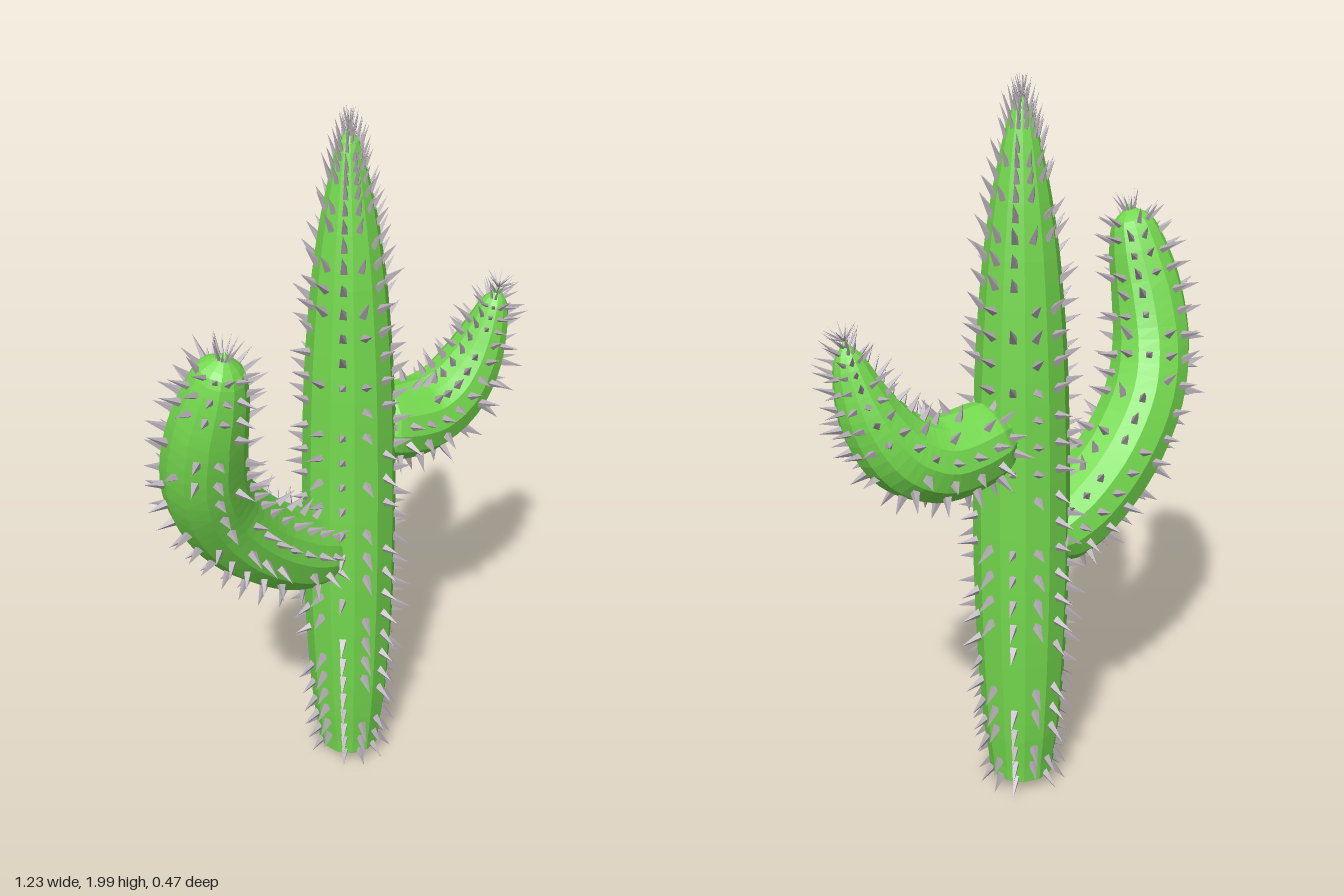
import * as THREE from 'three';
import { mergeGeometries } from 'three/addons/utils/BufferGeometryUtils.js';

const SIDES = 12;
const green = new THREE.MeshStandardMaterial({ color: 0x74d94e, flatShading: true });
const grey = new THREE.MeshStandardMaterial({ color: 0xb4acb4, flatShading: true, side: THREE.DoubleSide });

// Small seeded generator for the irregular spines
let seed = 7;
function random() {
  seed = (seed * 16807) % 2147483647;
  return seed / 2147483647;
}

// A limb is a 12-sided tube with varying radius; points are [x, y, z, radius]
function makeLimb(points) {
  const path = new THREE.CatmullRomCurve3(points.map(p => new THREE.Vector3(p[0], p[1], p[2])));
  const radii = new THREE.SplineCurve(points.map((p, i) => new THREE.Vector2(i, p[3])));
  const radius = t => Math.max(0, radii.getPoint(t).y);
  const at = (t, a, r = radius(t)) => {
    const T = path.getTangent(t);
    const w = new THREE.Vector3(0, 0, 1).addScaledVector(T, -T.z).normalize();
    const u = w.clone().cross(T);
    return path.getPoint(t).addScaledVector(u, r * Math.cos(a)).addScaledVector(w, r * Math.sin(a));
  };
  return { path, radius, at };
}

// Skin: rings along the path, closed at both ends
function skin(limb, rings) {
  const pos = [], index = [];
  for (let i = -1; i <= rings + 1; i++) {
    const t = THREE.MathUtils.clamp(i / rings, 0, 1);
    const r = i < 0 || i > rings ? 0 : limb.radius(t);
    for (let j = 0; j < SIDES; j++) pos.push(...limb.at(t, (j / SIDES) * Math.PI * 2, r).toArray());
  }
  for (let i = 0; i < rings + 2; i++) {
    for (let j = 0; j < SIDES; j++) {
      const k = (j + 1) % SIDES;
      const a = i * SIDES + j, b = i * SIDES + k, c = b + SIDES, d = a + SIDES;
      index.push(a, b, c, a, c, d);
    }
  }
  const geo = new THREE.BufferGeometry();
  geo.setAttribute('position', new THREE.Float32BufferAttribute(pos, 3));
  geo.setIndex(index);
  geo.computeVertexNormals();
  return geo;
}

// Spines: four-sided cones in rows, crowding and thinning toward the tip
function spines(limb, lean, start) {
  const cones = [], up = new THREE.Vector3(0, 1, 0), total = limb.path.getLength();
  for (let s = start; s < total - 0.003;) {
    const row = limb.path.getUtoTmapping(s / total);
    const r = limb.radius(row);
    const size = Math.min(1, 0.25 + r * 7.5);
    for (let j = 0; j < SIDES; j++) {
      if (random() < 0.22) continue;
      const a = ((j + 0.5) / SIDES) * Math.PI * 2;
      const t = THREE.MathUtils.clamp(row, 0.002, 0.995), e = 0.002;
      const across = limb.at(t, a + 0.05).sub(limb.at(t, a - 0.05));
      const along = limb.at(t + e, a).sub(limb.at(t - e, a));
      const dir = across.cross(along).normalize();
      dir.addScaledVector(limb.path.getTangent(t), lean(s / total) + (random() - 0.5) * 0.7).normalize();
      const length = 0.05 + random() * 0.016;
      const cone = new THREE.ConeGeometry(0.0135 * size, length, 4, 1, true);
      cone.translate(0, length / 2 - 0.006, 0);
      cone.applyQuaternion(new THREE.Quaternion().setFromUnitVectors(up, dir));
      // The facet centre lies slightly inside the full radius
      const p = limb.at(t, a, limb.radius(t) * Math.cos(Math.PI / SIDES));
      cone.translate(p.x, p.y, p.z);
      cones.push(cone);
    }
    s += Math.max(0.014, r * 0.58);
  }
  return mergeGeometries(cones);
}

export function createModel() {
  const model = new THREE.Group();
  model.name = 'cactus';

  const addLimb = (name, points, rings, lean, start) => {
    const limb = makeLimb(points);
    const group = new THREE.Group();
    group.name = name;
    const body = new THREE.Mesh(skin(limb, rings), green);
    body.name = name + 'Body';
    const thorns = new THREE.Mesh(spines(limb, lean, start), grey);
    thorns.name = name + 'Spines';
    group.add(body, thorns);
    model.add(group);
  };

  // Trunk: narrow foot, full middle, pointed top
  const trunk = [
    [0.04, 0.09], [0.2, 0.108], [0.4, 0.121], [0.65, 0.129], [0.9, 0.129], [1.15, 0.124],
    [1.35, 0.114], [1.55, 0.096], [1.7, 0.074], [1.82, 0.049], [1.9, 0.027], [1.945, 0],
  ].map(([y, r]) => [0.055, y, -0.055, r]);
  addLimb('trunk', trunk, 36, u => (u - 0.5) * 2.2 + 2 * u ** 8, 0.01);

  // Long arm on the right, curling up and forward
  addLimb('rightArm', [
    [-0.005, 0.745, -0.062, 0.07], [-0.05, 0.768, -0.06, 0.104], [-0.15, 0.818, -0.054, 0.117],
    [-0.285, 0.925, -0.036, 0.118], [-0.393, 1.065, -0.008, 0.114], [-0.448, 1.2, 0.035, 0.109],
    [-0.462, 1.34, 0.08, 0.099], [-0.454, 1.45, 0.113, 0.082], [-0.446, 1.53, 0.135, 0.055],
    [-0.44, 1.572, 0.145, 0],
  ], 36, u => u * 0.3, 0.03);

  // Short arm on the left, bending sharply up
  addLimb('leftArm', [
    [0.13, 1.1, -0.07, 0.078], [0.165, 1.091, -0.07, 0.102], [0.25, 1.073, -0.071, 0.11],
    [0.335, 1.072, -0.07, 0.11], [0.42, 1.115, -0.062, 0.102], [0.48, 1.195, -0.05, 0.086],
    [0.515, 1.285, -0.038, 0.063], [0.533, 1.365, -0.028, 0.037], [0.54, 1.415, -0.022, 0],
  ], 32, u => u * 0.3, 0.02);

  return model;
}
